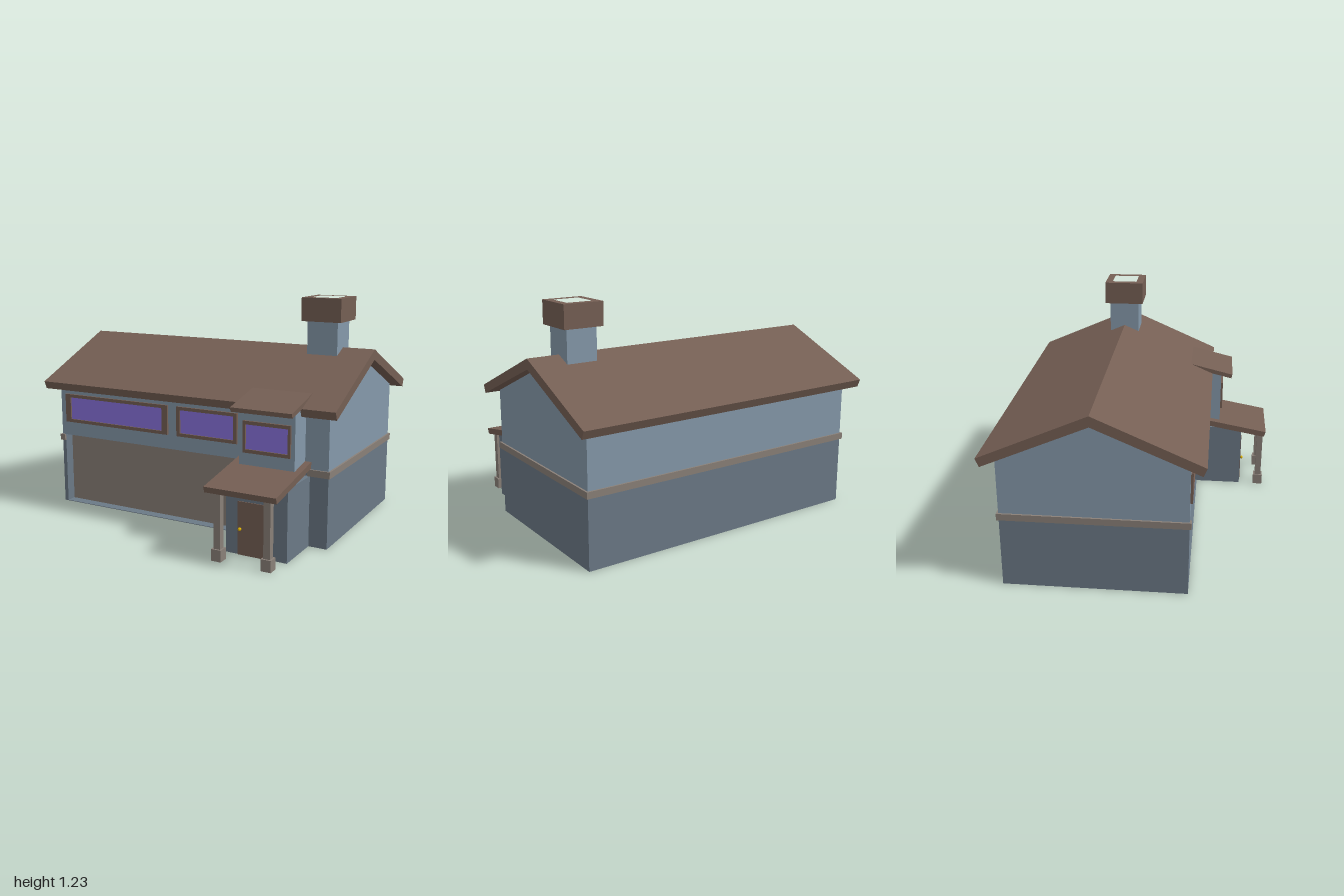
import * as THREE from 'three';

const mat = (color) => new THREE.MeshStandardMaterial({ color, flatShading: true });

export function createModel() {
  const model = new THREE.Group();
  const house = new THREE.Group();
  house.name = 'house';
  house.position.z = -0.145;
  house.rotation.y = THREE.MathUtils.degToRad(-14.8);
  model.add(house);

  const upperBlue = mat(0x8599aa), lowerBlue = mat(0x6b7986), brown = mat(0x755f54);
  const taupe = mat(0x8a8078), purple = mat(0x8a74e0), brass = mat(0xe0b400);

  function add(name, geometry, material) {
    const mesh = new THREE.Mesh(geometry, material);
    mesh.name = name;
    house.add(mesh);
    return mesh;
  }
  // Box from its limits on each axis
  function box(name, material, x0, x1, y0, y1, z0, z1) {
    const g = new THREE.BoxGeometry(x1 - x0, y1 - y0, z1 - z0);
    g.translate((x0 + x1) / 2, (y0 + y1) / 2, (z0 + z1) / 2);
    return add(name, g, material);
  }
  // Outline of [z, y] points swept along x
  function sweep(name, material, points, x0, x1) {
    const shape = new THREE.Shape(points.map(([z, y]) => new THREE.Vector2(-z, y)));
    const g = new THREE.ExtrudeGeometry(shape, { depth: x1 - x0, bevelEnabled: false });
    g.rotateY(Math.PI / 2).translate(x0, 0, 0);
    return add(name, g, material);
  }
  // Outline of [x, z] points raised along y
  function raise(name, material, points, y0, y1, hole) {
    const toShape = (p) => p.map(([x, z]) => new THREE.Vector2(x, -z));
    const shape = new THREE.Shape(toShape(points));
    if (hole) shape.holes.push(new THREE.Path(toShape(hole)));
    const g = new THREE.ExtrudeGeometry(shape, { depth: y1 - y0, bevelEnabled: false });
    g.rotateX(-Math.PI / 2).translate(0, y0, 0);
    return add(name, g, material);
  }
  const square = (cx, cz, r) => [[cx - r, cz - r], [cx + r, cz - r], [cx + r, cz + r], [cx - r, cz + r]];

  // Lower storey, with a shallow recess for the wide front panel
  const a = 0.831, b = 0.466, floorTop = 0.405, back = b - 0.06;
  const r0 = -0.808, r1 = 0.42;
  raise('lowerWalls', lowerBlue,
    [[-a, -b], [a, -b], [a, b], [r1, b], [r1, back], [r0, back], [r0, b], [-a, b]], 0, floorTop);
  box('recessSill', lowerBlue, r0, r1, 0, 0.003, back, b);
  box('garagePanel', taupe, r0, r1, 0.003, floorTop, back - 0.01, back + 0.004);

  // Upper storey with gables
  sweep('upperWalls', upperBlue, [[-b, floorTop], [b, floorTop], [b, 0.7], [0, 0.903], [-b, 0.7]], -a, a);

  // Trim band between the storeys
  const t = 0.01, bandLow = 0.37;
  box('trimBandBack', taupe, -a - t, a + t, bandLow, floorTop, -b - t, -b);
  for (const s of [-1, 1]) {
    const x = s * (a + t / 2);
    box('trimBandSide', taupe, x - t / 2, x + t / 2, bandLow, floorTop, -b, b + t);
  }
  box('trimBandFrontRight', taupe, -a, r0, bandLow, floorTop, b, b + t);
  box('trimBandFrontLeft', taupe, 0.72, a, bandLow, floorTop, b, b + t);

  // Main roof
  sweep('mainRoof', brown,
    [[-0.543, 0.723], [0, 0.96], [0.543, 0.723], [0.525, 0.68], [0, 0.905], [-0.525, 0.68]], -0.889, 0.889);

  // Chimney with hollow cap
  const cx = 0.627, cz = 0;
  raise('chimneyShaft', upperBlue, square(cx, cz, 0.085), 0.85, 1.1);
  raise('chimneyCap', brown, square(cx, cz, 0.111), 1.1, 1.225, square(cx, cz, 0.071));
  raise('chimneyFlue', brown, square(cx, cz, 0.072), 1.1, 1.13);

  // Entry bay, window bay above it, and their roofs
  box('entryBay', lowerBlue, 0.4, 0.732, 0, 0.37, 0.3, 0.73);
  box('windowBay', upperBlue, 0.4, 0.705, 0.38, 0.725, 0.4, 0.595);
  sweep('windowBayRoof', brown, [[0.41, 0.78], [0.66, 0.72], [0.655, 0.697], [0.41, 0.755]], 0.383, 0.715);
  sweep('porchRoof', brown, [[0.45, 0.446], [0.875, 0.369], [0.865, 0.338], [0.45, 0.412]], 0.354, 0.738);

  // Porch posts on square bases
  for (const x of [0.42, 0.687]) {
    raise('porchPost', taupe, square(x, 0.844, 0.0175), 0.05, 0.355);
    raise('postBase', taupe, square(x, 0.844, 0.0265), 0, 0.06);
  }

  // Door and knob
  box('door', brown, 0.467, 0.628, 0, 0.275, 0.72, 0.735);
  const knob = add('doorKnob', new THREE.SphereGeometry(0.009, 10, 8), brass);
  knob.position.set(0.482, 0.135, 0.742);

  // Framed windows: x limits, wall plane, side and top frame widths
  for (const [x0, x1, z, fw] of [[-0.792, -0.1, b, 0.036], [-0.042, 0.325, b, 0.021], [0.426, 0.685, 0.595, 0.014]]) {
    const y0 = 0.485, y1 = 0.648, fh = 0.018, out = z + 0.012;
    for (const [p, q] of [[x0, x0 + fw], [x1 - fw, x1]]) box('windowFrameSide', brown, p, q, y0, y1, z - 0.01, out);
    for (const [p, q] of [[y0, y0 + fh], [y1 - fh, y1]]) box('windowFrameRail', brown, x0 + fw, x1 - fw, p, q, z - 0.01, out);
    box('windowGlass', purple, x0 + fw, x1 - fw, y0 + fh, y1 - fh, z - 0.01, z + 0.004);
  }
  return model;
}
